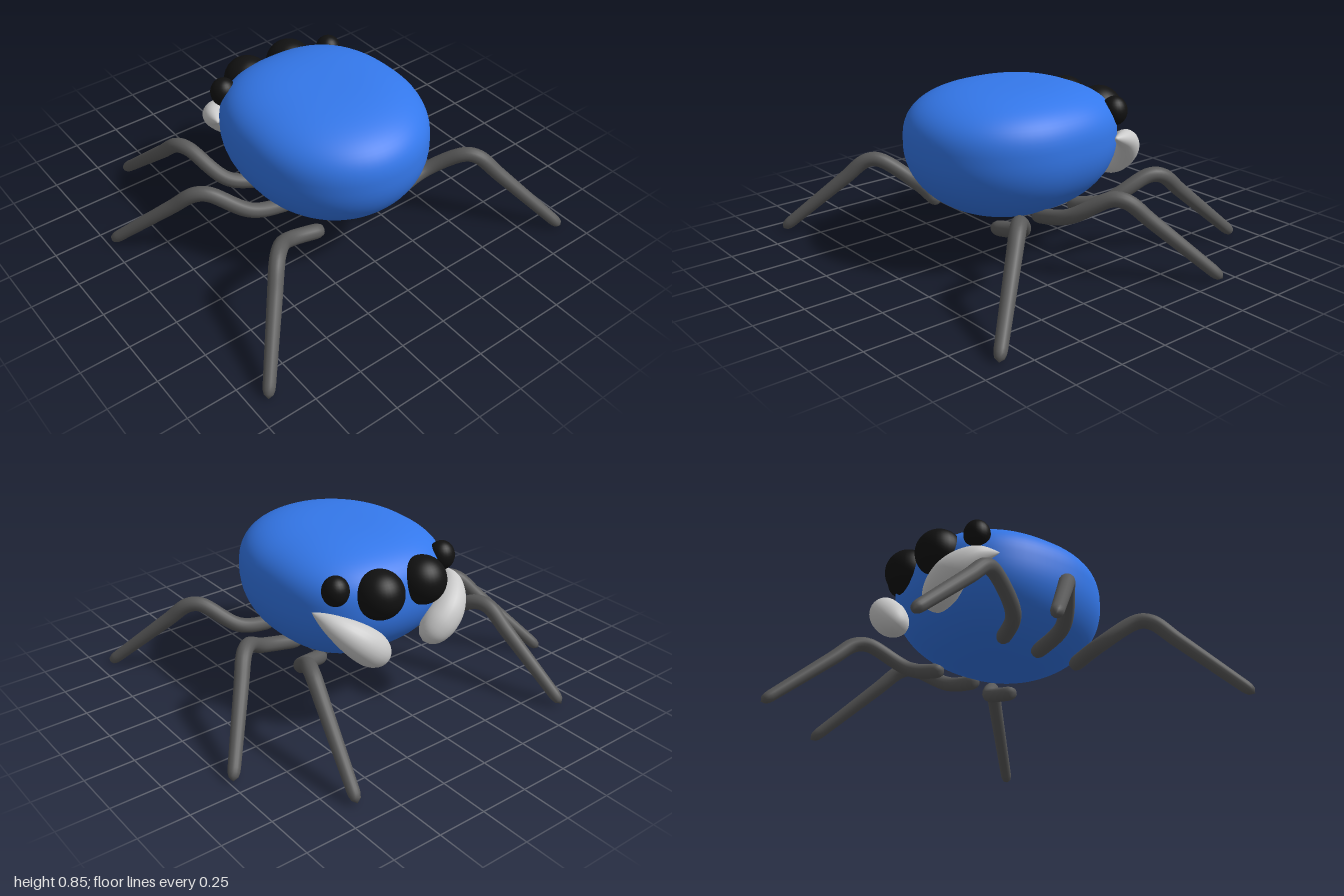
import * as THREE from 'three';
import { mergeVertices } from 'three/addons/utils/BufferGeometryUtils.js';

const mat = (color) => new THREE.MeshStandardMaterial({ color });
const BLUE = mat(0x3478eb), BLACK = mat(0x111111), LEG = mat(0x5a5a5a), FANG = mat(0xcccccc);
const V = (p) => new THREE.Vector3(...p);

function smooth(geo) {
  geo.deleteAttribute('uv');
  geo.deleteAttribute('normal');
  const merged = mergeVertices(geo, 1e-5);
  merged.computeVertexNormals();
  return merged;
}

// Tube whose radius follows radiusAt(t), t in 0..1
function taperedTube(points, radiusAt, segments, sides) {
  const curve = new THREE.CatmullRomCurve3(points, false, 'centripetal');
  const geo = new THREE.TubeGeometry(curve, segments, 1, sides);
  const pos = geo.attributes.position, v = new THREE.Vector3();
  for (let i = 0; i < pos.count; i++) {
    const t = Math.floor(i / (sides + 1)) / segments;
    const c = curve.getPointAt(t);
    v.fromBufferAttribute(pos, i).sub(c).multiplyScalar(radiusAt(t)).add(c);
    pos.setXYZ(i, v.x, v.y, v.z);
  }
  return smooth(geo);
}

// Boxy egg: lathe of a superellipse profile, squared off in plan
function bodyGeometry() {
  const profile = [], n = 40;
  for (let i = 0; i <= n; i++) {
    const a = -Math.PI / 2 + (Math.PI * i) / n;
    const up = a > 0, e = 2 / (up ? 2.8 : 2.1);
    const r = i === 0 || i === n ? 0 : Math.pow(Math.cos(a), e);
    const y = Math.sign(a) * Math.pow(Math.abs(Math.sin(a)), e) * (up ? 0.27 : 0.38);
    profile.push(new THREE.Vector2(r, y));
  }
  const geo = new THREE.LatheGeometry(profile, 64);
  const pos = geo.attributes.position;
  for (let i = 0; i < pos.count; i++) {
    const x = pos.getX(i), z = pos.getZ(i), r = Math.hypot(x, z) || 1;
    const e = z < 0 ? 2.5 : 2.05;
    const k = Math.pow(Math.abs(x / r) ** e + Math.abs(z / r) ** e || 1, -1 / e);
    pos.setXYZ(i, x * k * 0.473, pos.getY(i), z * k * 0.53);
  }
  return smooth(geo);
}

export function createModel() {
  const model = new THREE.Group();
  const add = (name, geo, material, x = 0, y = 0, z = 0) => {
    const mesh = new THREE.Mesh(geo, material);
    mesh.name = name;
    mesh.position.set(x + 0.007, y, z);
    model.add(mesh);
    return mesh;
  };

  add('body', bodyGeometry(), BLUE, 0, 0.6, 0.09);

  // Hip, bend, knee and foot of each leg on the left side
  const legs = {
    frontLeg: [[0.23, 0.26, -0.1], [0.42, 0.31, -0.18], [0.54, 0.45, -0.41], [0.645, 0.03, -0.89]],
    middleLeg: [[0.22, 0.25, 0.11], [0.46, 0.31, 0.09], [0.655, 0.435, -0.05], [0.98, 0.025, -0.425]],
    rearLeg: [[0.22, 0.25, 0.36], [0.43, 0.3, 0.36], [0.6, 0.43, 0.51], [0.925, 0.02, 0.88]],
  };
  const legRadius = (t) => {
    const d = Math.min(t, 1 - t) / 0.05;
    const cap = d < 1 ? Math.sqrt(Math.max(0, 1 - (1 - d) ** 2)) : 1;
    return cap * (0.038 - 0.009 * Math.max(0, t - 0.5) * 2);
  };
  const fangRadius = (t) => (t < 0.7
    ? 0.088 * Math.sin((t / 0.7) * Math.PI / 2) ** 0.85
    : 0.088 * Math.sqrt(Math.max(0, 1 - ((t - 0.7) / 0.3) ** 2)));

  for (const [side, s] of [['left', 1], ['right', -1]]) {
    const flip = (p) => V([p[0] * s, p[1], p[2]]);

    for (const [name, pts] of Object.entries(legs)) {
      const [hip, bend, knee, foot] = pts.map(flip);
      // Points close to the knee keep the bend tight
      const path = [hip, bend, knee.clone().lerp(bend, 0.15), knee.clone().lerp(foot, 0.07),
        knee.clone().lerp(foot, 0.3), foot];
      add(`${side} ${name}`, taperedTube(path, legRadius, 60, 16), LEG);
    }

    // Fang: pointed outside, fat and rounded at the inner end
    const fang = [[0.41, 0.615, -0.25], [0.365, 0.575, -0.36], [0.28, 0.5, -0.43],
      [0.19, 0.42, -0.44], [0.125, 0.36, -0.425]].map(flip);
    add(`${side} fang`, taperedTube(fang, fangRadius, 40, 24), FANG);

    // Eyes
    add(`${side} main eye`, new THREE.SphereGeometry(0.12, 32, 24), BLACK, 0.13 * s, 0.68, -0.4);
    add(`${side} side eye`, new THREE.SphereGeometry(0.066, 24, 16), BLACK, 0.325 * s, 0.725, -0.32)
      .scale.y = 1.12;
  }
  return model;
}
